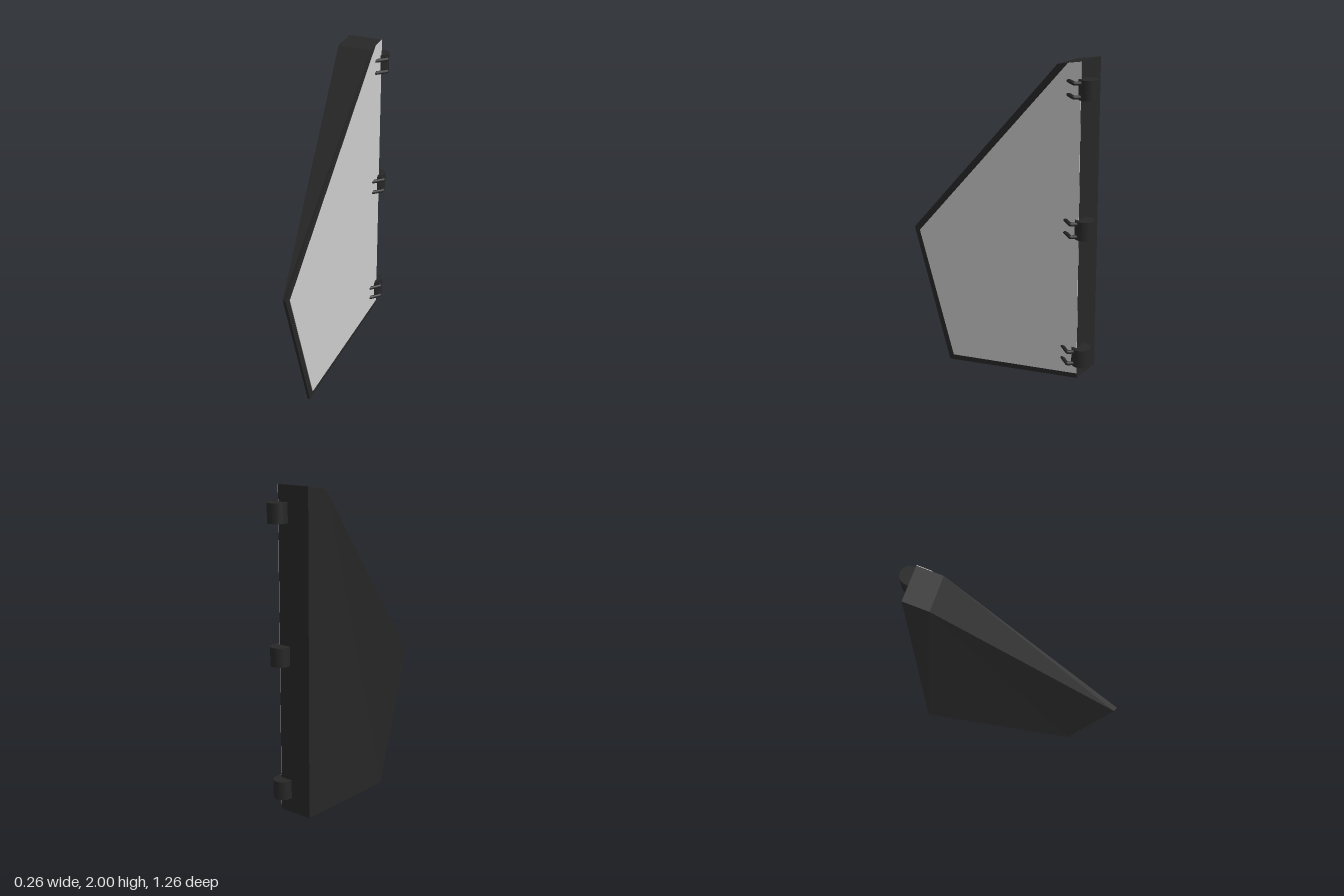
import * as THREE from 'three';

const dark = new THREE.MeshStandardMaterial({ color: 0x272727 });
const pale = new THREE.MeshStandardMaterial({ color: 0xcccccc });

function mesh(name, geometry, material) {
  const m = new THREE.Mesh(geometry, material);
  m.name = name;
  return m;
}

// Wedge body: five-sided outer face, thick at the hinge edge, thin at the front edge
function wedgeGeometry() {
  const outline = [[2, -0.54], [1.975, -0.395], [0.85, 0.63], [0, 0.37], [0.155, -0.565]]; // y, z
  const innerX = [-0.135, -0.135, 0.047, 0.057, -0.135];
  const outer = outline.map(([y, z]) => [0.073, y, z]);
  const inner = outline.map(([y, z], i) => [innerX[i], y, i === 2 ? z - 0.01 : z]);
  const pos = [];
  const tri = (a, b, c) => pos.push(...a, ...b, ...c);

  for (let i = 1; i < 4; i++) tri(outer[0], outer[i], outer[i + 1]);
  for (let i = 0; i < 5; i++) {
    const j = (i + 1) % 5;
    tri(outer[i], inner[i], inner[j]);
    tri(outer[i], inner[j], outer[j]);
  }
  // Flat inner strip by the hinge edge, then the sloping back
  tri(inner[0], inner[4], inner[1]);
  tri(inner[1], inner[4], inner[3]);
  tri(inner[1], inner[3], inner[2]);

  const g = new THREE.BufferGeometry();
  g.setAttribute('position', new THREE.Float32BufferAttribute(pos, 3));
  g.computeVertexNormals();
  return g;
}

// Thin pale sheet inset in the outer face
function panelGeometry() {
  const points = [[-0.54, 2], [-0.46, 1.986], [0.588, 0.837], [0.338, 0.04], [-0.564, 0.185]]; // z, y
  const shape = new THREE.Shape(points.map(([z, y]) => new THREE.Vector2(-z, y)));
  const g = new THREE.ExtrudeGeometry(shape, { depth: 0.004, bevelEnabled: false });
  return g.rotateY(Math.PI / 2).translate(0.072, 0, 0);
}

// Hinge: upright barrel with two bent prongs gripping the panel
function createHinge(y) {
  const hinge = new THREE.Group();
  hinge.name = 'hinge';
  const barrel = mesh('hingeBarrel', new THREE.CylinderGeometry(0.055, 0.055, 0.108, 32), dark);
  barrel.position.set(0.05, 0, -0.576);
  hinge.add(barrel);

  const bend = [[0.06, -0.585], [0.122, -0.527], [0.063, -0.455]]; // x, z
  for (const side of [-1, 1]) {
    const path = new THREE.CurvePath();
    const pts = bend.map(([x, z]) => new THREE.Vector3(x, side * 0.037, z));
    path.add(new THREE.LineCurve3(pts[0], pts[1]));
    path.add(new THREE.LineCurve3(pts[1], pts[2]));
    const prong = mesh('hingeProng', new THREE.TubeGeometry(path, 24, 0.011, 10), dark);
    const tip = mesh('prongTip', new THREE.SphereGeometry(0.011, 10, 8), dark);
    tip.position.copy(pts[2]);
    hinge.add(prong, tip);
  }
  hinge.position.y = y;
  return hinge;
}

export function createModel() {
  const model = new THREE.Group();
  model.name = 'hingedWedgePanel';
  model.add(mesh('wedgeBody', wedgeGeometry(), dark));
  model.add(mesh('facePanel', panelGeometry(), pale));
  for (const y of [0.295, 1.075, 1.855]) model.add(createHinge(y));
  return model;
}
